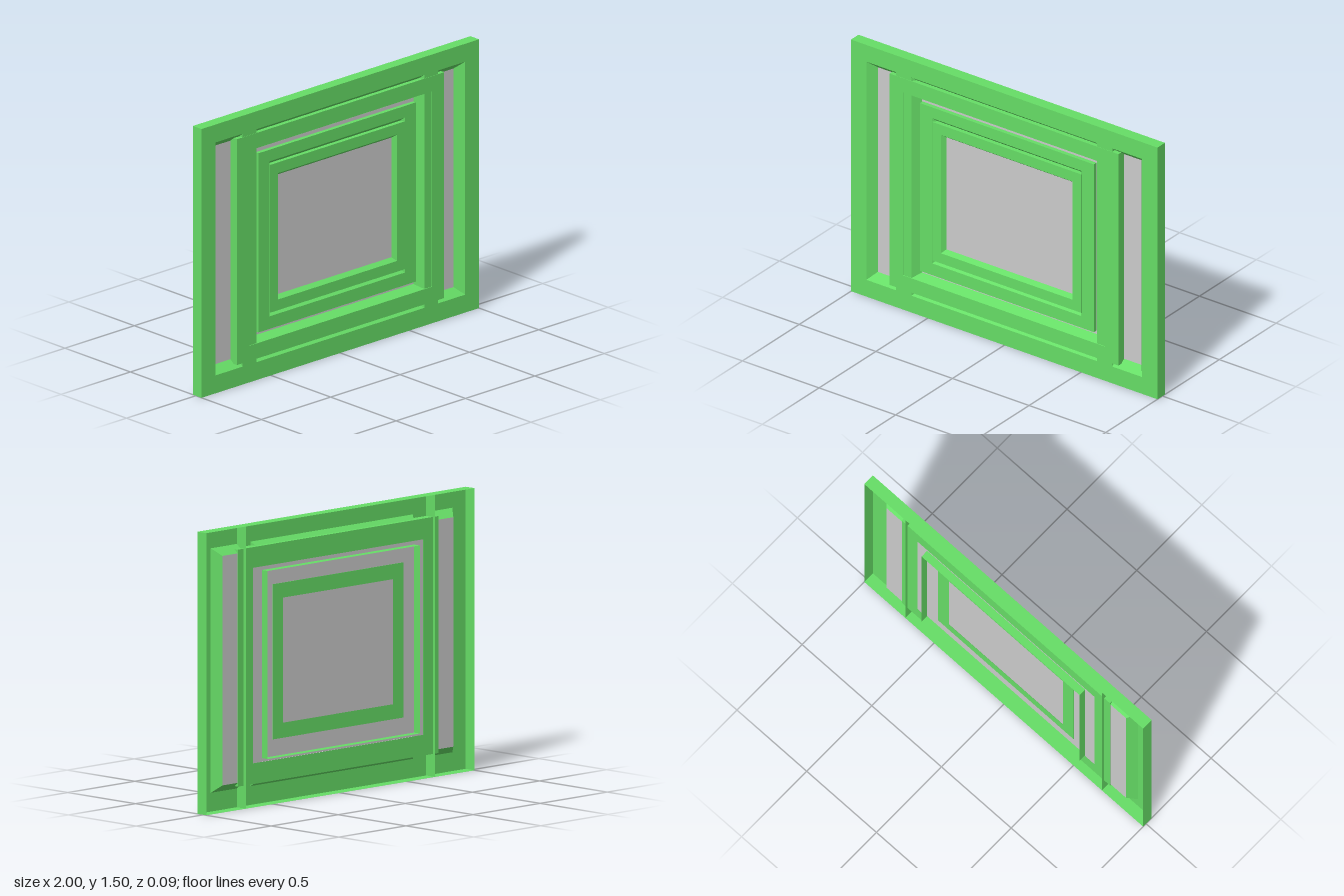
import * as THREE from 'three';

const green = new THREE.MeshStandardMaterial({ color: 0x66dd66, side: THREE.DoubleSide });
const grey = new THREE.MeshStandardMaterial({ color: 0xcccccc, side: THREE.DoubleSide });

// Depths shared by the parts
const FRONT = 0.044, BACK = -0.022, GLASS = -0.003;

// Rectangle loop [x0, x1, y0, y1] at depth z, counter-clockwise from the front
function loop([x0, x1, y0, y1], z) {
  return [[x0, y0, z], [x1, y0, z], [x1, y1, z], [x0, y1, z]];
}

// Joins successive rectangle loops with flat quads
function loft(name, loops) {
  const pos = [];
  for (let k = 0; k < loops.length - 1; k++) {
    const a = loops[k], b = loops[k + 1];
    for (let i = 0; i < 4; i++) {
      const j = (i + 1) % 4;
      pos.push(...a[i], ...a[j], ...b[j], ...a[i], ...b[j], ...b[i]);
    }
  }
  const geo = new THREE.BufferGeometry();
  geo.setAttribute('position', new THREE.Float32BufferAttribute(pos, 3));
  geo.computeVertexNormals();
  const mesh = new THREE.Mesh(geo, green);
  mesh.name = name;
  return mesh;
}

// Moulding open at the back: outer walls, front face, bevel sloping to the glass
function shell(name, outer, hole, sight, front, back) {
  return loft(name, [loop(outer, back), loop(outer, front), loop(hole, front), loop(sight, GLASS)]);
}

// Closed moulding with a bevelled opening
function solid(name, outer, hole, sight, front, back) {
  return loft(name, [
    loop(outer, back), loop(outer, front), loop(hole, front), loop(sight, back), loop(outer, back),
  ]);
}

function pane(name, [x0, x1, y0, y1]) {
  const mesh = new THREE.Mesh(new THREE.PlaneGeometry(x1 - x0, y1 - y0), grey);
  mesh.position.set((x0 + x1) / 2, (y0 + y1) / 2, GLASS);
  mesh.name = name;
  return mesh;
}

const mirror = ([x0, x1, y0, y1]) => [-x1, -x0, y0, y1];

export function createModel() {
  const group = new THREE.Group();
  group.name = 'window';

  // Side lights, mirrored left and right
  for (const [side, place] of [['left', (r) => r], ['right', mirror]]) {
    group.add(
      shell(side + 'SideFrame', place([0.705, 1, 0, 1.5]), place([0.705, 0.9, 0.1, 1.4]),
        place([0.705, 0.86, 0.14, 1.36]), FRONT, BACK),
      pane(side + 'SidePane', place([0.705, 0.86, 0.14, 1.36])),
    );
  }

  // Middle frame with the two mullions
  group.add(shell('middleFrame', [-0.705, 0.705, 0, 1.5], [-0.605, 0.605, 0.1, 1.4],
    [-0.572, 0.572, 0.14, 1.36], FRONT, BACK));

  // Casement set into the middle frame, overlapping the mullions
  group.add(solid('casement', [-0.747, 0.747, 0.12, 1.38], [-0.66, 0.66, 0.205, 1.295],
    [-0.635, 0.635, 0.23, 1.27], 0.046, -0.005));

  // Inner sash, standing out at the back
  group.add(shell('sash', [-0.567, 0.567, 0.25, 1.25], [-0.488, 0.488, 0.32, 1.185],
    [-0.468, 0.468, 0.34, 1.165], 0.02, -0.046));

  // Glazing bead around the central glass
  group.add(solid('glazingBead', [-0.486, 0.486, 0.34, 1.165], [-0.43, 0.43, 0.4, 1.105],
    [-0.41, 0.41, 0.42, 1.085], 0.022, -0.005));

  group.add(pane('centrePane', [-0.635, 0.635, 0.23, 1.27]));
  return group;
}
